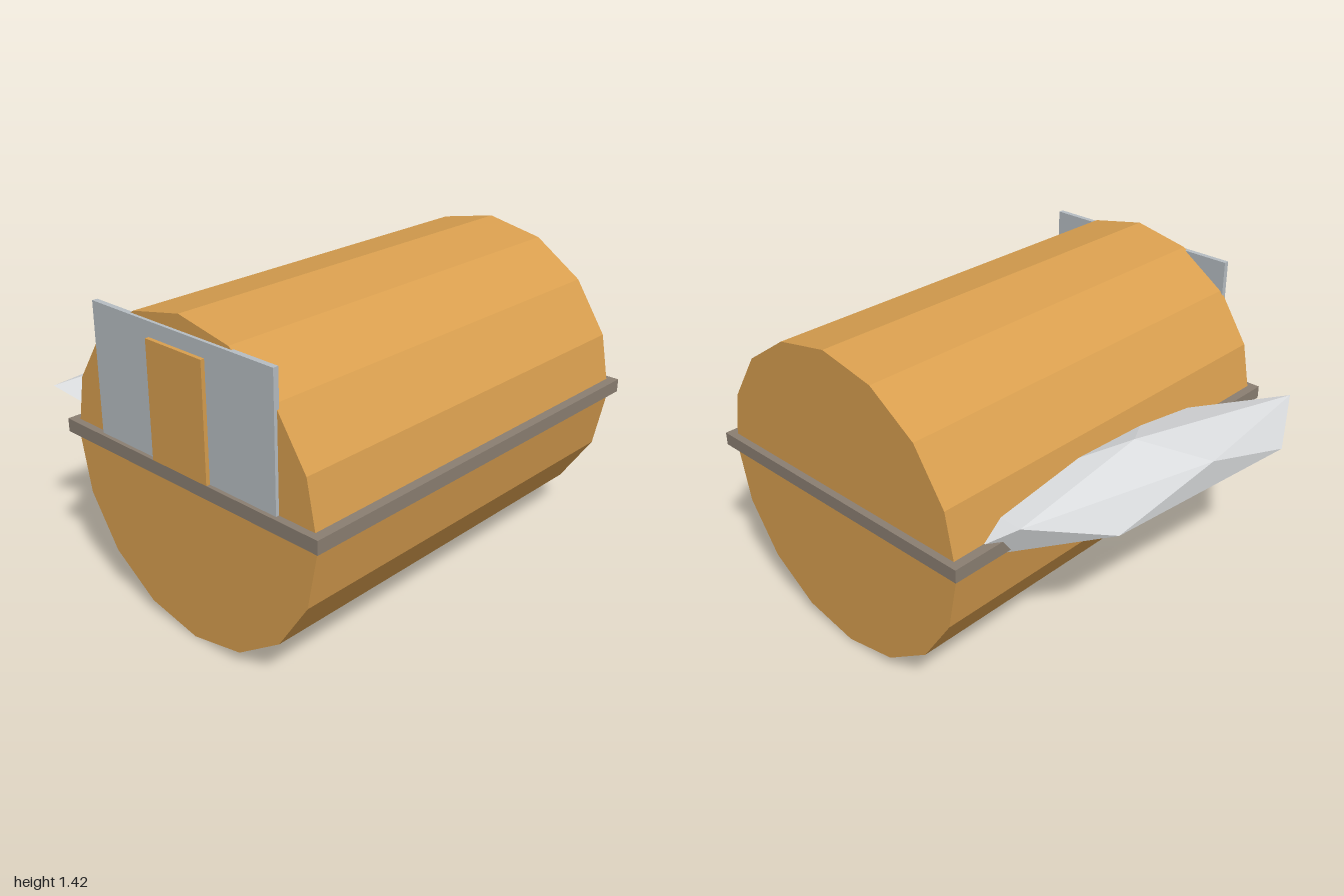
import * as THREE from 'three';
import { ConvexGeometry } from 'three/addons/geometries/ConvexGeometry.js';

const material = (name, color) => {
  const m = new THREE.MeshStandardMaterial({ color, flatShading: true });
  m.name = name;
  return m;
};

export function createModel() {
  const model = new THREE.Group();
  model.name = 'barrelBuilding';
  const wood = material('wood', 0xd99f4f);
  const band = material('bandBrown', 0x8b7f72);
  const metal = material('paleGrey', 0xb7bec3);
  const stone = material('stoneGrey', 0xdadcde);

  const add = (name, geometry, mat, x, y, z) => {
    const mesh = new THREE.Mesh(geometry, mat);
    mesh.name = name;
    mesh.position.set(x, y, z);
    model.add(mesh);
    return mesh;
  };
  const box = (name, mat, [x0, x1], [y0, y1], [z0, z1]) =>
    add(name, new THREE.BoxGeometry(x1 - x0, y1 - y0, z1 - z0), mat,
      (x0 + x1) / 2, (y0 + y1) / 2, (z0 + z1) / 2);

  // Sixteen-sided body lying along x
  const body = new THREE.CylinderGeometry(0.71, 0.71, 1.934, 16);
  body.rotateZ(Math.PI / 2);
  add('body', body, wood, 0, 0.71, 0.165);

  // Flat slab around the middle
  box('middleBand', band, [-1, 1], [0.715, 0.775], [-0.575, 0.905]);

  // Front wall and its door on the -x end
  box('endWall', metal, [-0.982, -0.957], [0.775, 1.355], [-0.35, 0.68]);
  box('door', wood, [-1, -0.98], [0.775, 1.29], [0, 0.32]);

  // Stretched twenty-sided boulder: two poles and two staggered rings
  const centre = [0, 0.77, -0.61];
  const upper = [[-0.92, -0.79], [-0.2, -0.875], [0.71, -0.63], [0.69, -0.31], [-0.33, -0.41]];
  const lower = [[-0.69, -0.91], [0.33, -0.81], [0.92, -0.43], [0.2, -0.345], [-0.78, -0.6]];
  const points = [new THREE.Vector3(0, 0.155, 0), new THREE.Vector3(0, -0.155, 0)];
  for (const [ring, y] of [[upper, 0.069], [lower, -0.069]])
    for (const [x, z] of ring) points.push(new THREE.Vector3(x, y, z - centre[2]));
  add('boulder', new ConvexGeometry(points), stone, ...centre);

  return model;
}
